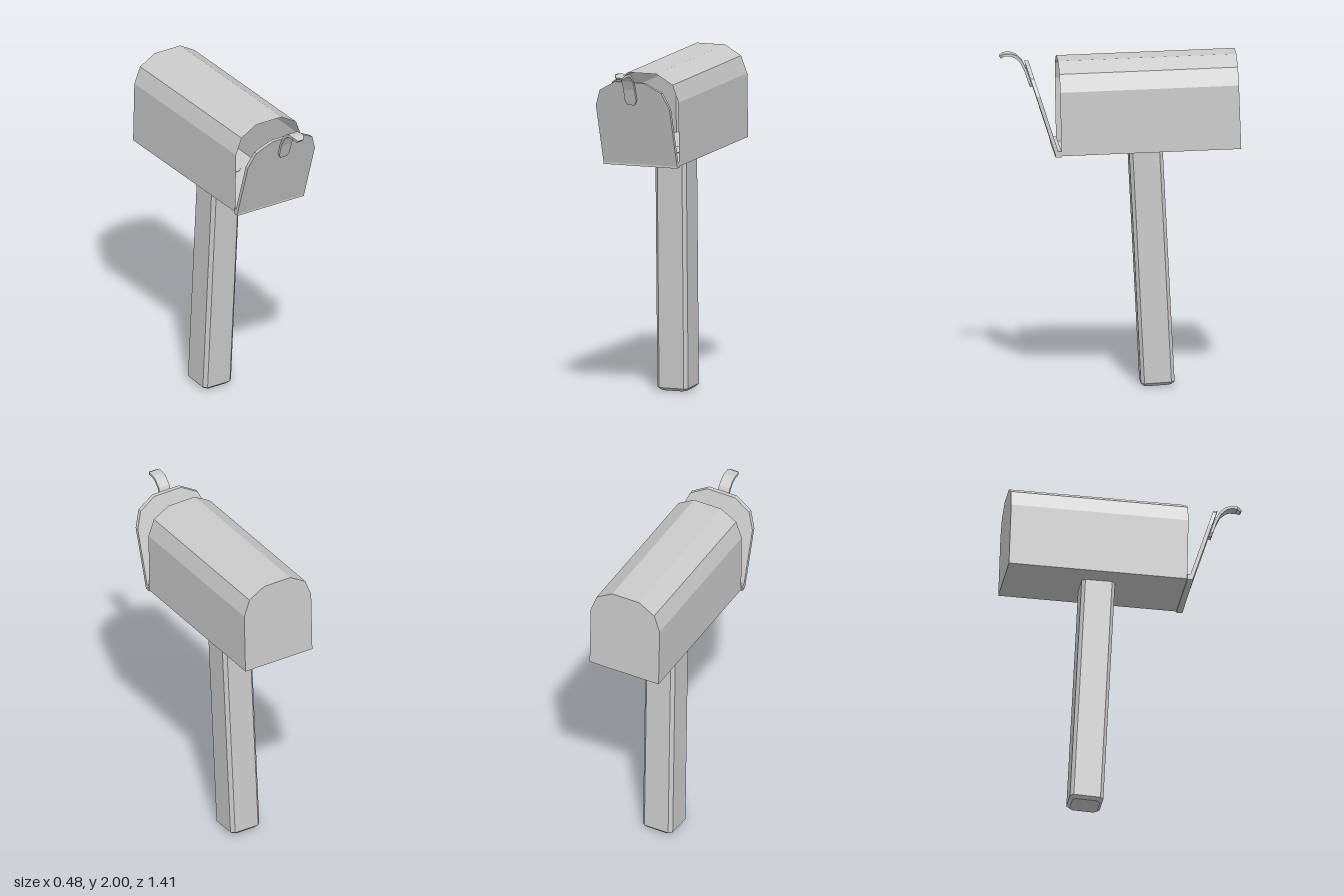
import * as THREE from 'three';

const material = new THREE.MeshStandardMaterial({ color: 0xcccccc, flatShading: true });
const openMaterial = new THREE.MeshStandardMaterial({ color: 0xcccccc, flatShading: true, side: THREE.DoubleSide });

const v = (x, y, z) => new THREE.Vector3(x, y, z);

// Joins convex rings of points; each ring runs counter-clockwise seen from the last ring's end.
function loft(name, rings, { startCap = true, endCap = true, mat = material } = {}) {
  const pos = [];
  const tri = (...pts) => pts.forEach((p) => pos.push(p.x, p.y, p.z));
  const n = rings[0].length;
  for (let r = 0; r < rings.length - 1; r++) {
    const a = rings[r], b = rings[r + 1];
    for (let i = 0; i < n; i++) {
      const j = (i + 1) % n;
      tri(a[i], a[j], b[j]);
      tri(a[i], b[j], b[i]);
    }
  }
  const first = rings[0], last = rings[rings.length - 1];
  for (let i = 1; i < n - 1; i++) {
    if (startCap) tri(first[0], first[i + 1], first[i]);
    if (endCap) tri(last[0], last[i], last[i + 1]);
  }
  const geo = new THREE.BufferGeometry();
  geo.setAttribute('position', new THREE.Float32BufferAttribute(pos, 3));
  geo.computeVertexNormals();
  const mesh = new THREE.Mesh(geo, mat);
  mesh.name = name;
  return mesh;
}

// Right half of the arched outline (x, height), from the floor up; mirrored to close it.
const half = [[0.23, 0], [0.23, 0.38], [0.192, 0.483], [0.09, 0.543]];
const arch = [...half, ...half.map(([x, y]) => [-x, y]).reverse()];

// Hollow body, open at the front, slightly raised and swung at the back
function body() {
  const back = arch.map(([x, y]) => v(x - 0.015, 1.448 + y, -0.707 + y * 0.035));
  const front = arch.map(([x, y]) => v(x + 0.003, 1.422 + y, 0.354 + y * 0.02));
  return loft('body', [back, front], { endCap: false, mat: openMaterial });
}

// Open door leaning forward from its bottom edge, with a hinge lip
function door() {
  const group = new THREE.Group();
  group.name = 'door';
  const ring = (dz) => arch.map(([x, y]) => v(x * 1.025, 1.42 + y * 0.95, 0.387 + y * 0.305 + dz));
  group.add(loft('doorPanel', [ring(-0.024), ring(0)]));

  const lip = new THREE.Mesh(new THREE.BoxGeometry(0.47, 0.035, 0.036), material);
  lip.name = 'hingeLip';
  lip.position.set(0, 1.432, 0.371);
  group.add(lip);
  return group;
}

// Curled pull strip: path points (y, z, half width)
function handle() {
  const path = [
    [1.8, 0.518, 0.022], [1.825, 0.527, 0.036], [1.895, 0.55, 0.036], [1.95, 0.577, 0.036],
    [1.982, 0.61, 0.036], [1.992, 0.638, 0.036], [1.992, 0.68, 0.036], [1.977, 0.702, 0.02],
  ];
  const t = 0.008;
  const rings = path.map(([y, z, w], i) => {
    const p = path[Math.max(i - 1, 0)], q = path[Math.min(i + 1, path.length - 1)];
    const dir = v(0, q[0] - p[0], q[1] - p[1]).normalize();
    const ny = dir.z * t, nz = -dir.y * t;
    return [[-1, -1], [1, -1], [1, 1], [-1, 1]].map(([sx, sn]) => v(sx * w, y + sn * ny, z + sn * nz));
  });
  return loft('handle', rings);
}

// Leaning square post with bevelled corners and foot
function post() {
  const ring = (cx, y, cz, h, tilt) => {
    const b = 0.02;
    const pts = [[h, -h + b], [h, h - b], [h - b, h], [-h + b, h], [-h, h - b], [-h, -h + b], [-h + b, -h], [h - b, -h]];
    return pts.map(([x, s]) => v(cx + x, y + s * tilt, cz - s));
  };
  return loft('post', [
    ring(-0.025, 0.006, -0.227, 0.082, 0.06),
    ring(-0.025, 0.024, -0.226, 0.099, 0.06),
    ring(-0.006, 1.438, -0.154, 0.099, 0.025),
  ]);
}

export function createModel() {
  const model = new THREE.Group();
  model.name = 'mailbox';
  model.add(body(), door(), handle(), post());
  return model;
}
